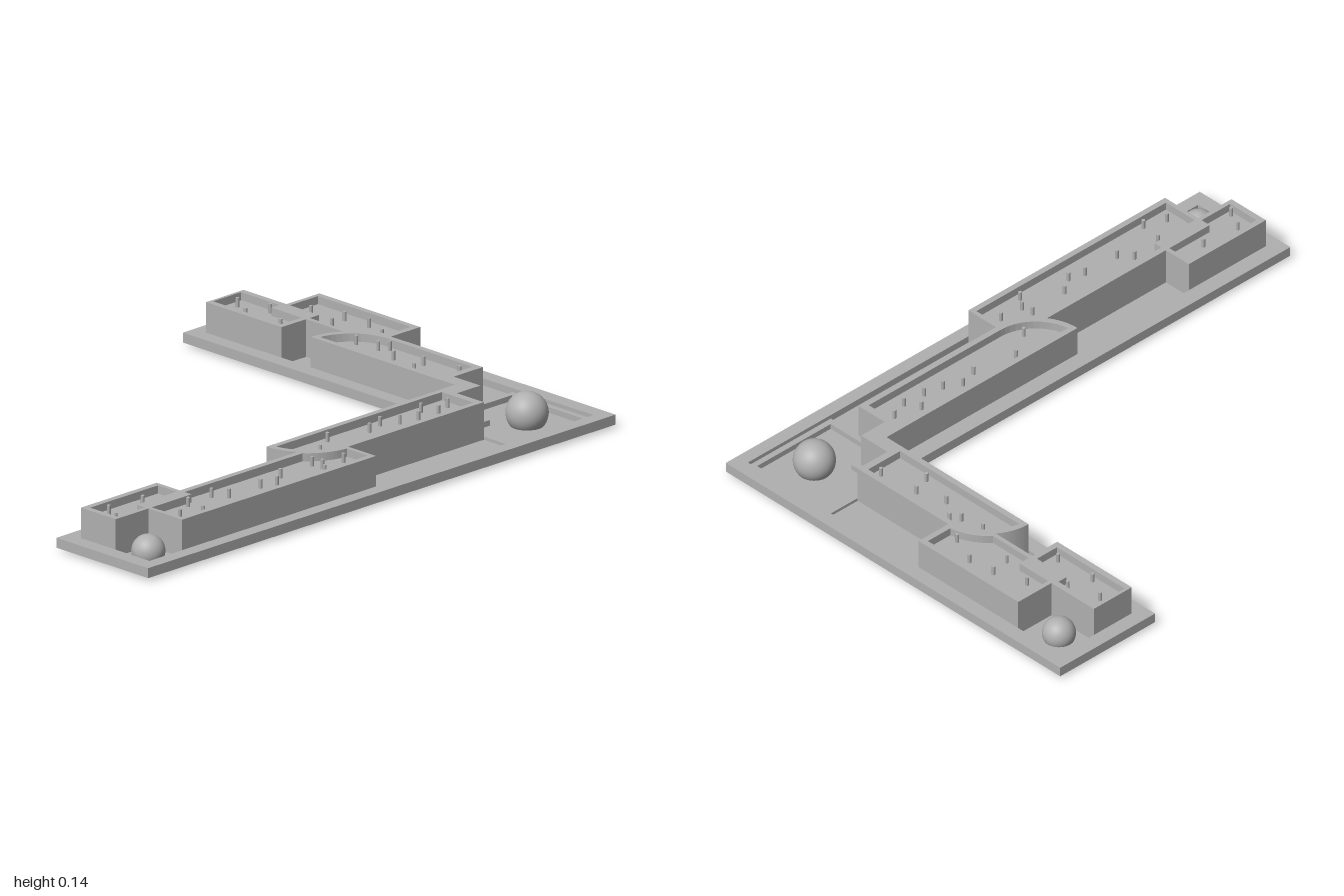
import * as THREE from 'three';

const stone = new THREE.MeshStandardMaterial({ color: 0xb0b0b0 });
stone.name = 'grey stone';

// points along a circular arc in plan (x, z)
function arc(cx, cz, r, a0, a1, n = 12) {
  return Array.from({ length: n + 1 }, (_, i) => {
    const a = a0 + (a1 - a0) * i / n;
    return [cx + r * Math.cos(a), cz + r * Math.sin(a)];
  });
}
const rect = (x0, z0, x1, z1) => [[x0, z0], [x1, z0], [x1, z1], [x0, z1]];
const toVecs = pts => pts.map(p => new THREE.Vector2(p[0], p[1]));

// vertical slab from a plan outline, between heights y0 and y1
function slab(name, pts, y0, y1, holes = []) {
  const shape = new THREE.Shape(toVecs(pts));
  holes.forEach(h => shape.holes.push(new THREE.Path(toVecs(h))));
  const geo = new THREE.ExtrudeGeometry(shape, { depth: y1 - y0, bevelEnabled: false });
  geo.rotateX(Math.PI / 2).translate(0, y1, 0);
  const mesh = new THREE.Mesh(geo, stone);
  mesh.name = name;
  return mesh;
}

// ball standing on y = 0 with its underside cut flat
function ball(name, x, z, r, cy) {
  const cut = Math.acos(-cy / r);
  const g = new THREE.Group();
  g.name = name;
  if (cy < r) {
    const base = new THREE.Mesh(new THREE.CircleGeometry(r * Math.sin(cut), 32).rotateX(Math.PI / 2), stone);
    base.name = 'ballBase';
    base.position.y = 0.0005;
    g.add(base);
  }
  const dome = new THREE.Mesh(new THREE.SphereGeometry(r, 32, 20, 0, Math.PI * 2, 0, cy < r ? cut : Math.PI), stone);
  dome.name = 'ballDome';
  dome.position.y = cy;
  g.add(dome);
  g.position.set(x, 0, z);
  return g;
}

export function createModel() {
  const model = new THREE.Group();
  model.name = 'cornerPlanter';
  const PI = Math.PI, low = 0.011, plateTop = 0.043, wallTop = 0.141, soil = 0.115;

  // L-shaped base frame
  const outer = [[-1, 0.335], [0.6, 0.335], [0.6, -0.73], [1, -0.73], [1, 0.73], [-1, 0.73]];
  const inner = [[-0.95, 0.39], [0.65, 0.39], [0.65, -0.68], [0.95, -0.68], [0.95, 0.685], [-0.95, 0.685]];
  model.add(slab('baseFrame', outer, low, plateTop, [inner]));

  // raised beds: plan outlines of the six troughs
  const trays = [
    [[-0.93, 0.41], [-0.64, 0.41], [-0.64, 0.49], [-0.81, 0.49], [-0.81, 0.525], [-0.93, 0.525]],
    [[-0.795, 0.54], [-0.625, 0.54], [-0.625, 0.51], ...arc(0.02, 0.39, 0.185, 2.436, 1.652), [0.005, 0.665], [-0.795, 0.665]],
    [...arc(0.02, 0.39, 0.155, 3.012, PI / 2), [0.575, 0.545], [0.575, 0.41]],
    [[0.67, -0.67], [0.79, -0.67], [0.79, -0.505], [0.755, -0.505], [0.755, -0.375], [0.67, -0.375]],
    [[0.81, -0.48], [0.93, -0.48], [0.93, -0.08], ...arc(0.65, -0.055, 0.187, -0.134, -0.874), [0.77, -0.355], [0.81, -0.355]],
    [...arc(0.65, -0.055, 0.155, -1.441, 0), [0.805, 0.31], [0.67, 0.31]],
  ];
  const beds = [
    [-0.95, 0.39], [-0.625, 0.39], [-0.625, 0.49], ...arc(0.02, 0.39, 0.175, 2.534, PI),
    [0.65, 0.39], ...arc(0.65, -0.055, 0.175, -PI / 2, -0.927),
    [0.755, -0.355], [0.65, -0.355], [0.65, -0.68], [0.81, -0.68], [0.81, -0.495],
    [0.95, -0.495], [0.95, -0.06], [0.825, -0.06], [0.825, 0.335], [0.7, 0.335],
    [0.7, 0.45], [0.6, 0.45], [0.6, 0.565], [0.02, 0.565], [0.02, 0.685],
    [-0.81, 0.685], [-0.81, 0.54], [-0.95, 0.54],
  ];
  model.add(slab('bedWalls', beds, low, wallTop, trays));
  trays.forEach(t => model.add(slab('bedFloor', t, soil - 0.008, soil)));

  // sunken floors beside the beds
  [
    rect(-0.625, 0.39, -0.124, 0.49), rect(0.02, 0.565, 0.6, 0.685),
    rect(0.65, -0.355, 0.755, -0.2), rect(0.825, -0.06, 0.95, 0.335),
    rect(-0.95, 0.54, -0.81, 0.685), rect(0.81, -0.68, 0.95, -0.495),
  ].forEach(r => model.add(slab('sunkenFloor', r, low, 0.02)));

  // notched corner basin
  const basinOuter = [[0.6, 0.45], [0.7, 0.45], [0.7, 0.335], [0.95, 0.335], [0.95, 0.685], [0.6, 0.685]];
  const basinInner = [[0.62, 0.47], [0.72, 0.47], [0.72, 0.355], [0.93, 0.355], [0.93, 0.665], [0.62, 0.665]];
  model.add(slab('basinRim', basinOuter, low, 0.03, [basinInner]));
  model.add(slab('basinFloor', basinInner, 0.001, 0.012));

  // ornamental balls
  model.add(ball('cornerBall', 0.805, 0.545, 0.066, 0.053));
  model.add(ball('rightEndBall', -0.88, 0.61, 0.052, 0.041));
  model.add(ball('backEndBall', 0.875, -0.595, 0.052, 0.041));

  // little stems scattered in the beds
  const stems = [
    -0.88, 0.44, -0.915, 0.505, -0.745, 0.45,
    -0.66, 0.56, -0.68, 0.645, -0.755, 0.62, -0.55, 0.55, -0.515, 0.59, -0.385, 0.595,
    -0.33, 0.61, -0.275, 0.57, -0.13, 0.56, -0.155, 0.64, -0.125, 0.6, -0.04, 0.605,
    -0.035, 0.5, 0.06, 0.435, 0.21, 0.465, 0.275, 0.445, 0.33, 0.475, 0.395, 0.49,
    0.45, 0.445, 0.475, 0.495, 0.54, 0.47,
    0.74, -0.635, 0.69, -0.55, 0.77, -0.525, 0.695, -0.405,
    0.845, -0.425, 0.81, -0.3, 0.88, -0.315, 0.89, -0.22, 0.845, -0.12,
    0.75, -0.135, 0.76, -0.05, 0.785, -0.025, 0.73, 0.045, 0.76, 0.145, 0.695, 0.17, 0.775, 0.285,
  ];
  const stemGeo = new THREE.CylinderGeometry(0.006, 0.006, 0.03, 8);
  for (let i = 0; i < stems.length; i += 2) {
    const stem = new THREE.Mesh(stemGeo, stone);
    stem.name = 'stem';
    stem.position.set(stems[i], soil + 0.015, stems[i + 1]);
    model.add(stem);
  }
  return model;
}
